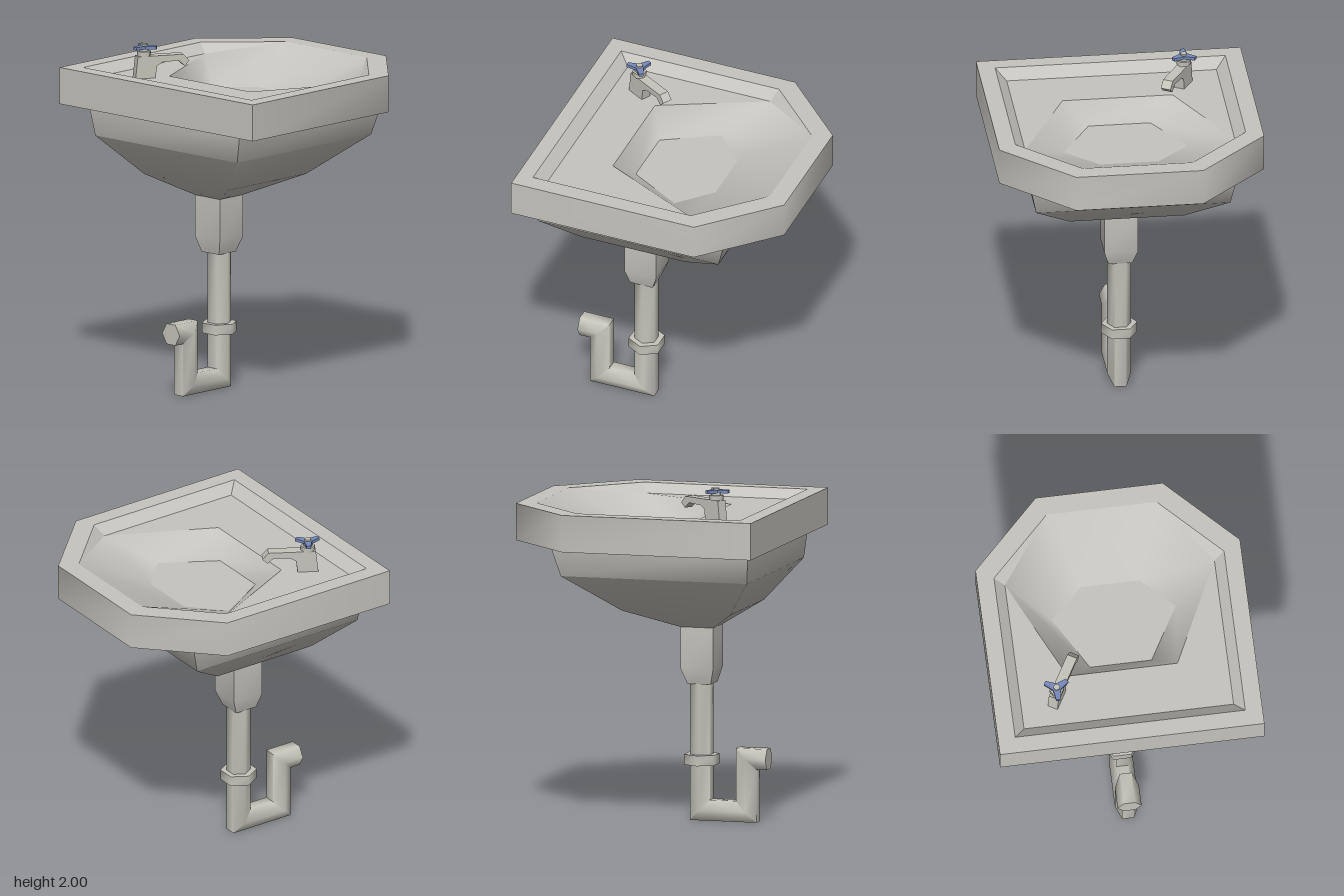
import * as THREE from 'three';
import { toCreasedNormals } from 'three/addons/utils/BufferGeometryUtils.js';

const SMOOTH = 1.13; // crease angle that keeps six-sided pipes soft
const FLAT = 0.1;

const ceramic = new THREE.MeshStandardMaterial({ name: 'ceramic', color: 0xc5c3bd });
const metal = new THREE.MeshStandardMaterial({ name: 'metal', color: 0xc5c4ba });
const handleBlue = new THREE.MeshStandardMaterial({ name: 'handleBlue', color: 0x7789bb });

// Skin a list of rings (anticlockwise about the direction of travel)
function loft(rings, { start = false, end = false, crease = SMOOTH } = {}) {
  const pos = [];
  const tri = (a, b, c) => {
    const area = b.clone().sub(a).cross(c.clone().sub(a)).length();
    if (area > 1e-6) for (const p of [a, b, c]) pos.push(p.x, p.y, p.z);
  };
  for (let r = 0; r + 1 < rings.length; r++) {
    const lo = rings[r], hi = rings[r + 1], n = lo.length;
    for (let i = 0; i < n; i++) {
      const j = (i + 1) % n;
      tri(lo[i], lo[j], hi[j]);
      tri(lo[i], hi[j], hi[i]);
    }
  }
  const first = rings[0], last = rings[rings.length - 1];
  for (let i = 1; i + 1 < first.length; i++) {
    if (start) tri(first[0], first[i + 1], first[i]);
    if (end) tri(last[0], last[i], last[i + 1]);
  }
  const g = new THREE.BufferGeometry();
  g.setAttribute('position', new THREE.Float32BufferAttribute(pos, 3));
  return toCreasedNormals(g, crease);
}

// Ring mirrored across x from its +x half, given as [x, y, z]
const mirrorRing = (half) => [
  ...half.map(([x, y, z]) => new THREE.Vector3(x, y, z)),
  ...half.slice().reverse().map(([x, y, z]) => new THREE.Vector3(-x, y, z)),
];
const rectRing = (hw, y, zFront, zBack) => mirrorRing([[hw, y, zFront], [hw, y, zBack]]);

// Hexagon in a sheared frame: points lie at x and along the offset (ny, nz)
function hexRing(r, y, z, ny = 0, nz = -1, x = 0) {
  return Array.from({ length: 6 }, (_, k) => {
    const a = (k * Math.PI) / 3, b = r * Math.sin(a);
    return new THREE.Vector3(x + r * Math.cos(a), y + b * ny, z + b * nz);
  });
}

export function createModel() {
  const model = new THREE.Group();
  model.name = 'washbasin';
  const add = (name, geometry, material, parent = model) => {
    const m = new THREE.Mesh(geometry, material);
    m.name = name;
    parent.add(m);
    return m;
  };

  // Basin slab: outer wall, rim with sunken ledge, inner bowl
  const outer = (y) => mirrorRing([[0.77, y, 0.77], [0.77, y, -0.37], [0.37, y, -0.77]]);
  const top = 1.855, ledge = 1.8, floor = 1.67;
  const lip = mirrorRing([[0.32, ledge, 0.32], [0.61, ledge, -0.28], [0.32, top, -0.66]]);
  add('basinWall', loft([outer(1.64), outer(top)], { start: true }), ceramic);
  add('basinRim', loft([
    outer(top),
    mirrorRing([[0.67, top, 0.675], [0.67, top, -0.31], [0.32, top, -0.66]]),
    mirrorRing([[0.61, ledge, 0.61], [0.61, ledge, -0.28], [0.32, top, -0.66]]),
    lip,
  ], { crease: FLAT }), ceramic);
  const bowlFloor = mirrorRing([[0.18, floor, 0.235], [0.36, floor, -0.08], [0.17, floor, -0.26]]);
  add('bowlInside', loft([lip, bowlFloor]), ceramic);
  add('bowlFloor', loft([bowlFloor], { end: true }), ceramic);

  // Underside of the bowl and the drain collar
  add('bowlUnderside', loft([
    rectRing(0.1, 1.135, 0.34, 0.14),
    rectRing(0.335, 1.25, 0.515, -0.14),
    rectRing(0.565, 1.47, 0.685, -0.44),
    rectRing(0.6, 1.645, 0.7, -0.49),
  ], { start: true }), ceramic);
  add('drainCollar', loft([
    rectRing(0.07, 0.8, 0.315, 0.175),
    rectRing(0.098, 0.89, 0.338, 0.142),
    rectRing(0.098, 1.14, 0.338, 0.142),
  ], { start: true }), ceramic);

  // Trap pipe from the outlet back up to the collar, with mitred bends
  add('trapPipe', loft([
    hexRing(0.07, 0.37, 0.645, -1, 0),
    hexRing(0.07, 0.37, 0.52, -1, 1),
    hexRing(0.07, 0.061, 0.52, -1, 1),
    hexRing(0.07, 0.061, 0.24, -1, -1),
    hexRing(0.07, 0.82, 0.24),
  ], { start: true, end: true }), metal);
  add('pipeNut', loft([hexRing(0.105, 0.325, 0.24), hexRing(0.105, 0.385, 0.24)],
    { start: true, end: true }), metal);

  // Tap, turned towards the bowl
  const tap = new THREE.Group();
  tap.name = 'tap';
  tap.position.set(-0.4, 0, 0.45);
  model.add(tap);
  const profile = new THREE.Shape([
    [-0.06, 1.795], [0.06, 1.795], [0.07, 1.87], [0.1, 1.89], [0.2, 1.895],
    [0.235, 1.862], [0.265, 1.89], [0.23, 1.93], [-0.045, 1.93],
  ].map(([s, y]) => new THREE.Vector2(s, y)));
  const spout = new THREE.ExtrudeGeometry(profile, { depth: 0.06, bevelEnabled: false });
  spout.translate(0, 0, -0.03);
  add('tapSpout', spout, metal, tap).rotation.y = Math.PI / 3;
  const hexPost = (r, y0, y1) => loft([hexRing(r, y0, 0), hexRing(r, y1, 0)], { start: true, end: true });
  add('tapCollar', hexPost(0.042, 1.93, 1.958), metal, tap);
  add('tapStem', hexPost(0.028, 1.958, 1.975), metal, tap);

  // Three-armed handle with a small cap
  const star = [];
  for (let k = 0; k < 3; k++) {
    const a = Math.PI / 6 + (k * 2 * Math.PI) / 3;
    for (const [r, da] of [[0.076, -0.16], [0.076, 0.16], [0.026, Math.PI / 3]]) {
      star.push(new THREE.Vector2(r * Math.cos(a + da), r * Math.sin(a + da)));
    }
  }
  const arms = new THREE.ExtrudeGeometry(new THREE.Shape(star), { depth: 0.018, bevelEnabled: false });
  arms.rotateX(-Math.PI / 2);
  add('tapHandle', arms, handleBlue, tap).position.y = 1.972;
  add('tapCap', hexPost(0.02, 1.985, 2), metal, tap);

  return model;
}
